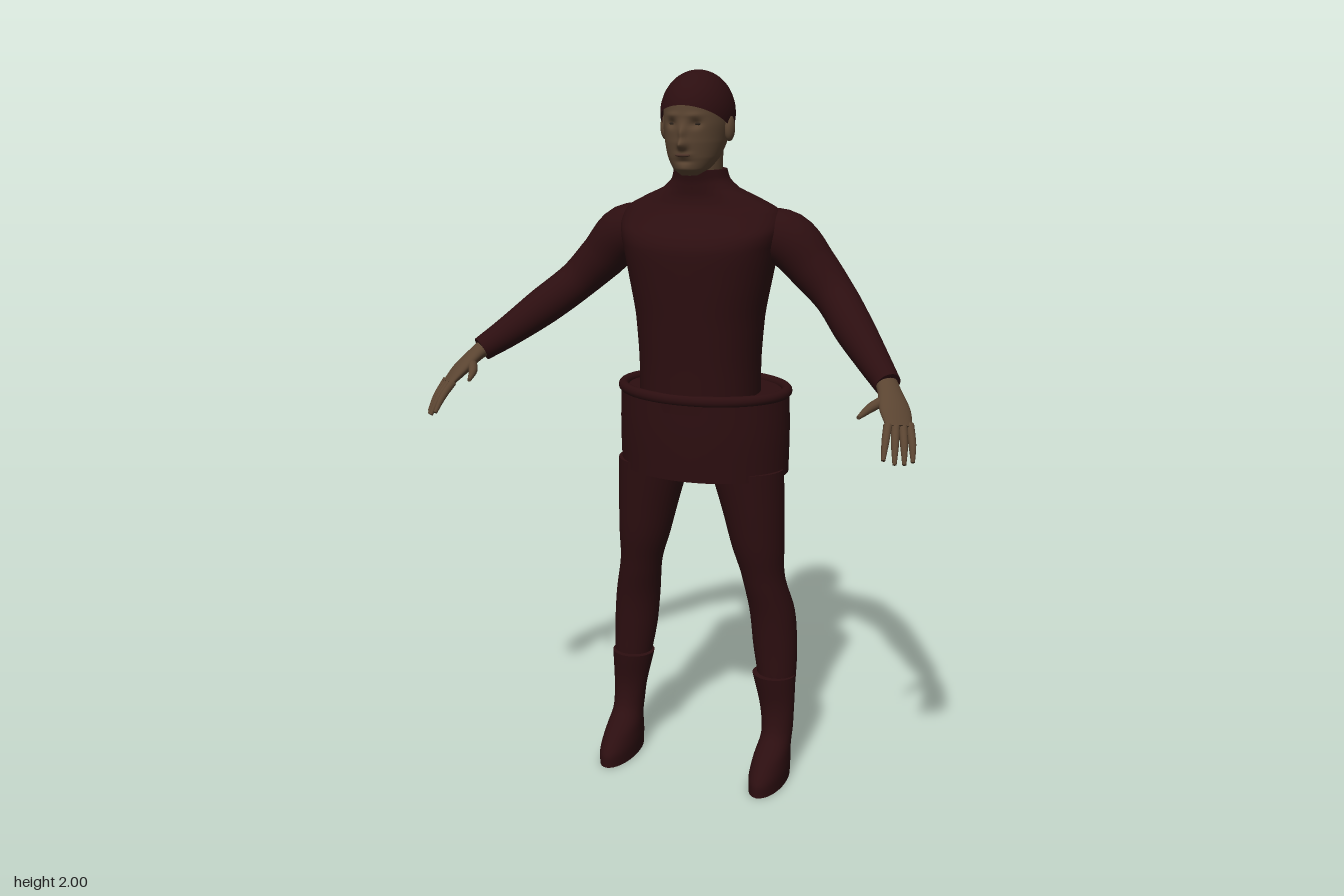
import * as THREE from 'three';

const mat = (name, color) => Object.assign(new THREE.MeshStandardMaterial({ color }), { name });

// Smooth skin through cross-sections. Each section: [centre, half width along U, half width along V].
// Without ref the rings stay horizontal; with ref they turn with the path and V follows ref.
function loft(sections, { ref = null, seg = 32, steps = 5, power = 2 } = {}) {
  const path = new THREE.CatmullRomCurve3(sections.map(s => s[0]));
  const size = new THREE.CatmullRomCurve3(sections.map(s => new THREE.Vector3(s[1], s[2], 0)));
  const rows = (sections.length - 1) * steps;
  const pos = [], idx = [];
  const bend = v => Math.sign(v) * Math.abs(v) ** (2 / power);
  for (let i = 0; i <= rows; i++) {
    const c = path.getPoint(i / rows), r = size.getPoint(i / rows);
    const T = ref ? path.getTangent(i / rows) : new THREE.Vector3(0, 1, 0);
    const V = (ref || new THREE.Vector3(0, 0, 1)).clone();
    V.addScaledVector(T, -V.dot(T)).normalize();
    const U = new THREE.Vector3().crossVectors(T, V);
    for (let j = 0; j < seg; j++) {
      const a = j / seg * Math.PI * 2;
      const p = c.clone().addScaledVector(U, bend(Math.cos(a)) * r.x).addScaledVector(V, bend(Math.sin(a)) * r.y);
      pos.push(p.x, p.y, p.z);
    }
  }
  for (let i = 0; i < rows; i++) for (let j = 0; j < seg; j++) {
    const a = i * seg + j, b = i * seg + (j + 1) % seg;
    idx.push(a, a + seg, b, b, a + seg, b + seg);
  }
  // flat end caps with their own corners
  for (const row of [0, rows]) {
    const base = pos.length / 3, c = path.getPoint(row / rows);
    for (let j = 0; j < seg; j++) pos.push(...pos.slice((row * seg + j) * 3, (row * seg + j) * 3 + 3));
    pos.push(c.x, c.y, c.z);
    for (let j = 0; j < seg; j++) {
      const a = base + j, b = base + (j + 1) % seg, m = base + seg;
      row ? idx.push(m, b, a) : idx.push(m, a, b);
    }
  }
  const g = new THREE.BufferGeometry();
  g.setAttribute('position', new THREE.Float32BufferAttribute(pos, 3));
  g.setIndex(idx);
  g.computeVertexNormals();
  return g;
}

// Horizontal rings given by extents: [y, xMin, xMax, zBack, zFront], listed upward
const stack = (rings, side = 1, opts) => loft(rings.map(([y, x0, x1, z0, z1]) =>
  [new THREE.Vector3(side * (x0 + x1) / 2, y, (z0 + z1) / 2), (x1 - x0) / 2, (z1 - z0) / 2]), opts);
const column = (rings, opts) => stack(rings.map(([y, x, z0, z1]) => [y, -x, x, z0, z1]), 1, opts);

// Round or flattened limb along points: [x, y, z, ru, rv]
const limb = (pts, side, ref, opts) => loft(pts.map(([x, y, z, ru, rv = ru]) =>
  [new THREE.Vector3(side * x, y, z), ru, rv]), { ref, ...opts });

export function createModel() {
  const model = new THREE.Group();
  model.name = 'figure';
  const cloth = mat('maroon cloth', 0x2c0e10), skin = mat('skin', 0x5a4431);
  const eyeMat = mat('dark eye', 0x2e241c), lipMat = mat('lip', 0x4c3328);
  const add = (name, geo, material, parent = model) => {
    const m = new THREE.Mesh(geo, material);
    m.name = name;
    parent.add(m);
    return m;
  };
  const blob = (name, material, p, r) => {
    const m = add(name, new THREE.SphereGeometry(1, 24, 16), material);
    m.position.set(...p);
    m.scale.set(...r);
  };

  // Torso with sloping shoulders and collar
  add('torso', column([
    [1.10, 0.168, -0.23, 0.068], [1.22, 0.168, -0.232, 0.071], [1.35, 0.177, -0.238, 0.077],
    [1.46, 0.198, -0.244, 0.083], [1.54, 0.215, -0.245, 0.083], [1.575, 0.225, -0.232, 0.066],
    [1.605, 0.23, -0.212, 0.03], [1.64, 0.215, -0.192, -0.002], [1.67, 0.16, -0.172, -0.015],
    [1.695, 0.105, -0.157, -0.016], [1.72, 0.078, -0.149, -0.014], [1.745, 0.07, -0.148, -0.008],
  ], { seg: 48, power: 2.2 }), cloth);

  // Stiff skirt and its rolled upper rim
  add('skirt', column([[0.91, 0.244, -0.292, 0.064], [1.03, 0.246, -0.294, 0.068], [1.14, 0.243, -0.292, 0.066]],
    { seg: 64 }), cloth);
  const rim = add('skirtRim', new THREE.TorusGeometry(0.236, 0.015, 12, 64).rotateX(Math.PI / 2), cloth);
  rim.scale.z = 0.76;
  rim.position.set(0, 1.14, -0.113);

  // Neck, and head shaped by soft bumps on the face: [x, y, spreadX, spreadY, push]
  add('neck', column([[1.68, 0.058, -0.135, -0.02], [1.75, 0.06, -0.137, -0.012], [1.84, 0.064, -0.14, -0.01]]), skin);
  const head = column([
    [1.733, 0.022, -0.02, 0.022], [1.75, 0.048, -0.065, 0.038], [1.78, 0.068, -0.11, 0.045],
    [1.82, 0.08, -0.145, 0.051], [1.87, 0.086, -0.16, 0.053], [1.915, 0.084, -0.155, 0.05],
    [1.95, 0.06, -0.12, 0.02],
  ], { seg: 96, steps: 10 });
  const bumps = [
    [0, 1.813, 0.011, 0.013, 0.026], [0, 1.842, 0.009, 0.018, 0.014], [0, 1.788, 0.02, 0.006, 0.006],
    [0, 1.752, 0.018, 0.01, 0.004], [0, 1.77, 0.02, 0.005, -0.004],
  ];
  for (const s of [1, -1]) bumps.push([s * 0.033, 1.866, 0.014, 0.01, -0.011], [s * 0.03, 1.888, 0.02, 0.006, 0.004]);
  const hp = head.attributes.position;
  for (let i = 0; i < hp.count; i++) {
    if (hp.getZ(i) < 0) continue;
    let push = 0;
    for (const [x, y, sx, sy, d] of bumps)
      push += d * Math.exp(-(((hp.getX(i) - x) / sx) ** 2) - ((hp.getY(i) - y) / sy) ** 2);
    hp.setZ(i, hp.getZ(i) + push);
  }
  head.computeVertexNormals();
  add('head', head, skin);
  blob('lips', lipMat, [0, 1.787, 0.048], [0.021, 0.005, 0.007]);

  // Close-fitting cap, tilted so it reaches down the nape
  const cap = add('cap', new THREE.SphereGeometry(1, 48, 32, 0, Math.PI * 2, 0, 1.87).rotateX(-0.52)
    .scale(0.096, 0.111, 0.119), mat('maroon cap', 0x2c0e10));
  cap.material = cloth.clone();
  cap.material.name = 'maroon cap';
  cap.material.side = THREE.DoubleSide;
  cap.position.set(0, 1.889, -0.06);

  for (const s of [1, -1]) {
    const label = s > 0 ? 'left' : 'right';
    blob(label + 'Eye', eyeMat, [s * 0.033, 1.866, 0.029], [0.012, 0.005, 0.008]);
    blob(label + 'Ear', skin, [s * 0.09, 1.853, -0.055], [0.014, 0.034, 0.02]);

    // Arm, bent forward at the elbow
    const z = new THREE.Vector3(0, 0, 1);
    add(label + 'Arm', limb([
      [0.14, 1.575, -0.115, 0.07], [0.235, 1.562, -0.115, 0.075], [0.31, 1.49, -0.113, 0.066],
      [0.38, 1.42, -0.09, 0.056], [0.45, 1.355, -0.02, 0.053], [0.53, 1.285, 0.06, 0.042],
      [0.58, 1.245, 0.115, 0.034],
    ], s, z), cloth);

    // Hand: flat palm, four fingers and thumb
    const hand = new THREE.Group();
    hand.name = label + 'Hand';
    model.add(hand);
    const across = new THREE.Vector3(s * 0.69, -0.05, -0.72);
    add('palm', limb([
      [0.57, 1.254, 0.104, 0.024, 0.028], [0.59, 1.232, 0.135, 0.02, 0.032],
      [0.615, 1.197, 0.175, 0.018, 0.042], [0.636, 1.163, 0.21, 0.011, 0.036],
    ], s, across), skin, hand);
    const fingers = [
      [[0.611, 1.17, 0.226], [0.617, 1.14, 0.268], [0.622, 1.102, 0.302]],
      [[0.627, 1.167, 0.214], [0.638, 1.13, 0.256], [0.646, 1.09, 0.286]],
      [[0.642, 1.165, 0.2], [0.656, 1.126, 0.237], [0.665, 1.086, 0.265]],
      [[0.655, 1.167, 0.184], [0.671, 1.125, 0.215], [0.68, 1.087, 0.24]],
      [[0.59, 1.22, 0.155], [0.56, 1.203, 0.2], [0.543, 1.188, 0.25]],
    ];
    fingers.forEach(([a, b, c], i) => {
      const k = i === 4 ? 1.25 : 1;
      add(i === 4 ? 'thumb' : 'finger' + (i + 1),
        limb([[...a, 0.011 * k], [...b, 0.0095 * k], [...c, 0.005]], s, across, { seg: 12 }), skin, hand);
    });

    // Leg and boot
    add(label + 'Leg', stack([
      [0.24, 0.18, 0.28, -0.155, -0.065], [0.3, 0.172, 0.284, -0.165, -0.06], [0.4, 0.155, 0.284, -0.178, -0.056],
      [0.5, 0.145, 0.275, -0.18, -0.048], [0.6, 0.13, 0.252, -0.155, -0.03], [0.7, 0.1, 0.249, -0.16, -0.01],
      [0.8, 0.073, 0.248, -0.17, 0.002], [0.93, 0.034, 0.244, -0.178, 0.016],
    ], s), cloth);
    add(label + 'Boot', stack([
      [0, 0.186, 0.285, -0.155, 0.08], [0.035, 0.185, 0.286, -0.155, 0.077], [0.08, 0.188, 0.284, -0.15, 0.035],
      [0.13, 0.193, 0.282, -0.148, -0.04], [0.2, 0.185, 0.284, -0.146, -0.058], [0.31, 0.16, 0.286, -0.162, -0.043],
    ], s), cloth);
  }
  return model;
}
